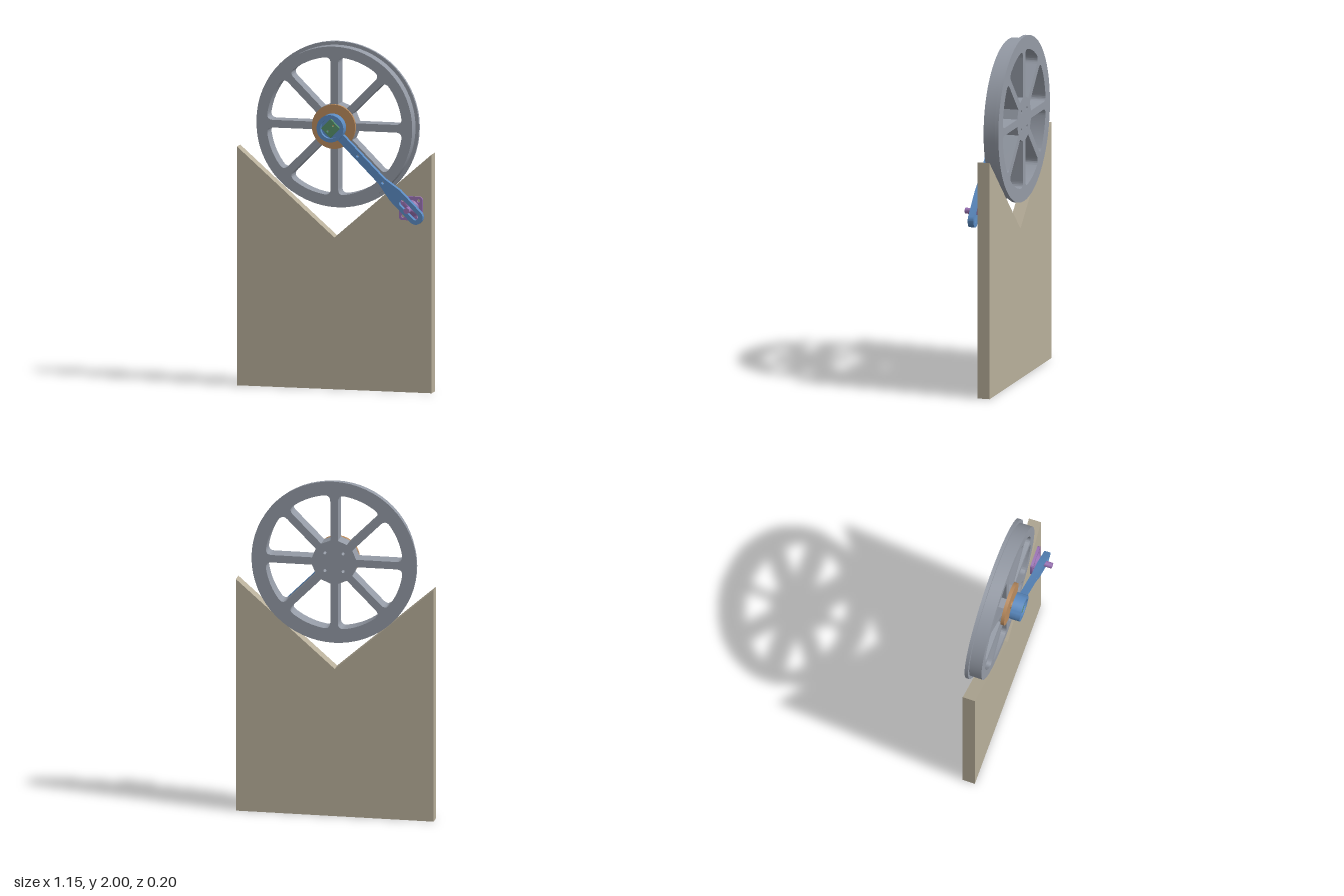
import * as THREE from 'three';
import { toCreasedNormals } from 'three/addons/utils/BufferGeometryUtils.js';

const mat = (name, color) => new THREE.MeshStandardMaterial({ name, color });
const HUB_Y = 1.52, PIN = 0.643, SPOKES = 8;

const polar = (r, a) => [r * Math.cos(a), r * Math.sin(a)];

// circular outline or hole
function circle(r, x = 0, y = 0, Type = THREE.Shape) {
  const s = new Type();
  s.absarc(x, y, r, 0, Math.PI * 2, false);
  return s;
}
const hole = (r, x, y) => circle(r, x, y, THREE.Path);

// flat part extruded between two depths
function slab(name, shape, z0, z1, material, segs = 32) {
  const geo = new THREE.ExtrudeGeometry(shape, { depth: z1 - z0, bevelEnabled: false, curveSegments: segs });
  geo.translate(0, 0, z0);
  const mesh = new THREE.Mesh(toCreasedNormals(geo, 0.4), material);
  mesh.name = name;
  return mesh;
}

// rounded opening between two neighbouring spokes
function windowHole(i, inner, outer, half) {
  const step = Math.PI * 2 / SPOKES, a = i * step, b = a + step;
  const off = r => Math.asin(half / r);
  const p = new THREE.Path();
  const arc0 = a + off(outer) + 0.09, arc1 = b - off(outer) - 0.09, rs = outer - 0.04;
  p.moveTo(...polar(inner, a + off(inner)));
  p.lineTo(...polar(rs, a + off(rs)));
  p.quadraticCurveTo(...polar(outer, a + off(outer)), ...polar(outer, arc0));
  p.absarc(0, 0, outer, arc0, arc1, false);
  p.quadraticCurveTo(...polar(outer, b - off(outer)), ...polar(rs, b - off(rs)));
  p.lineTo(...polar(inner, b - off(inner)));
  p.closePath();
  return p;
}

function wheelShape(radius) {
  const s = circle(radius);
  for (let i = 0; i < SPOKES; i++) s.holes.push(windowHole(i, 0.13, 0.4, 0.022));
  for (const x of [-0.053, 0.053]) for (const y of [-0.053, 0.053]) s.holes.push(hole(0.009, x, y));
  return s;
}

export function createModel() {
  const stone = mat('stand beige', 0xb8af9a);
  const grey = mat('wheel grey', 0x949aa5);
  const brown = mat('hub brown', 0xb98b5e);
  const blue = mat('crank blue', 0x5b8bc2);
  const green = mat('insert green', 0x569068);
  const purple = mat('pin purple', 0x9a72b4);
  const model = new THREE.Group();
  model.name = 'wheelOnStand';

  // V-notched stand
  const v = new THREE.Shape([[-0.575, 0], [0.575, 0], [0.575, 1.38], [0, 0.877], [-0.575, 1.38]]
    .map(q => new THREE.Vector2(...q)));
  model.add(slab('stand', v, -0.083, -0.01, stone));

  // flanged wheel
  const wheel = new THREE.Group();
  wheel.name = 'wheel';
  wheel.position.y = HUB_Y;
  wheel.add(slab('tread', wheelShape(0.46), -0.084, -0.01, grey));
  wheel.add(slab('flange', wheelShape(0.48), -0.105, -0.084, grey));
  wheel.add(slab('hubDisc', circle(0.128), -0.01, 0.01, brown));
  wheel.add(slab('shaft', circle(0.024), 0.01, 0.062, brown, 16));
  model.add(wheel);

  // crank, its arm running along local +x
  const crank = new THREE.Group();
  crank.name = 'crank';
  crank.position.y = HUB_Y;
  crank.rotation.z = -Math.PI / 4;
  crank.add(slab('bossBase', circle(0.079), 0.025, 0.06, blue));
  const ring = circle(0.079);
  ring.holes.push(hole(0.057));
  crank.add(slab('bossRing', ring, 0.06, 0.088, blue));

  const arm = new THREE.Shape();
  arm.moveTo(0.07, -0.022);
  arm.lineTo(0.42, -0.022);
  arm.lineTo(0.53, -0.042);
  arm.lineTo(0.703, -0.042);
  arm.absarc(0.703, 0, 0.042, -Math.PI / 2, Math.PI / 2, false);
  arm.lineTo(0.53, 0.042);
  arm.lineTo(0.42, 0.022);
  arm.lineTo(0.07, 0.022);
  arm.closePath();
  const slot = new THREE.Path();
  slot.absarc(0.7, 0, 0.018, -Math.PI / 2, Math.PI / 2, false);
  slot.absarc(0.59, 0, 0.018, Math.PI / 2, Math.PI * 1.5, false);
  slot.closePath();
  arm.holes.push(slot, hole(0.009, 0.22, 0), hole(0.009, 0.43, 0));
  crank.add(slab('arm', arm, 0.025, 0.06, blue, 12));

  // square insert with two screw holes
  const h = 0.039;
  const square = new THREE.Shape([[-h, -h], [h, -h], [h, h], [-h, h]].map(q => new THREE.Vector2(...q)));
  square.holes.push(hole(0.007, 0, 0.022), hole(0.007, 0, -0.022));
  crank.add(slab('squareInsert', square, 0.06, 0.08, green, 12));
  model.add(crank);

  // slot pin on a square foot
  const pin = new THREE.Group();
  pin.name = 'slotPin';
  pin.position.set(PIN * Math.SQRT1_2, HUB_Y - PIN * Math.SQRT1_2, 0);
  const foot = new THREE.Shape(), c = 0.05, r = 0.019;
  foot.absarc(c, c, r, 0, Math.PI / 2, false);
  foot.absarc(-c, c, r, Math.PI / 2, Math.PI, false);
  foot.absarc(-c, -c, r, Math.PI, Math.PI * 1.5, false);
  foot.absarc(c, -c, r, Math.PI * 1.5, Math.PI * 2, false);
  for (const x of [-c + 0.004, c - 0.004]) for (const y of [-c + 0.004, c - 0.004]) foot.holes.push(hole(0.01, x, y));
  pin.add(slab('pinFoot', foot, -0.01, 0.005, purple, 12));
  const profile = [[0.05, 0.004], [0.05, 0.006], [0.017, 0.03], [0.017, 0.1], [0, 0.1]];
  const rod = new THREE.LatheGeometry(profile.map(q => new THREE.Vector2(...q)), 24);
  rod.rotateX(Math.PI / 2);
  const rodMesh = new THREE.Mesh(toCreasedNormals(rod, 0.5), purple);
  rodMesh.name = 'pinRod';
  pin.add(rodMesh);
  model.add(pin);

  return model;
}
